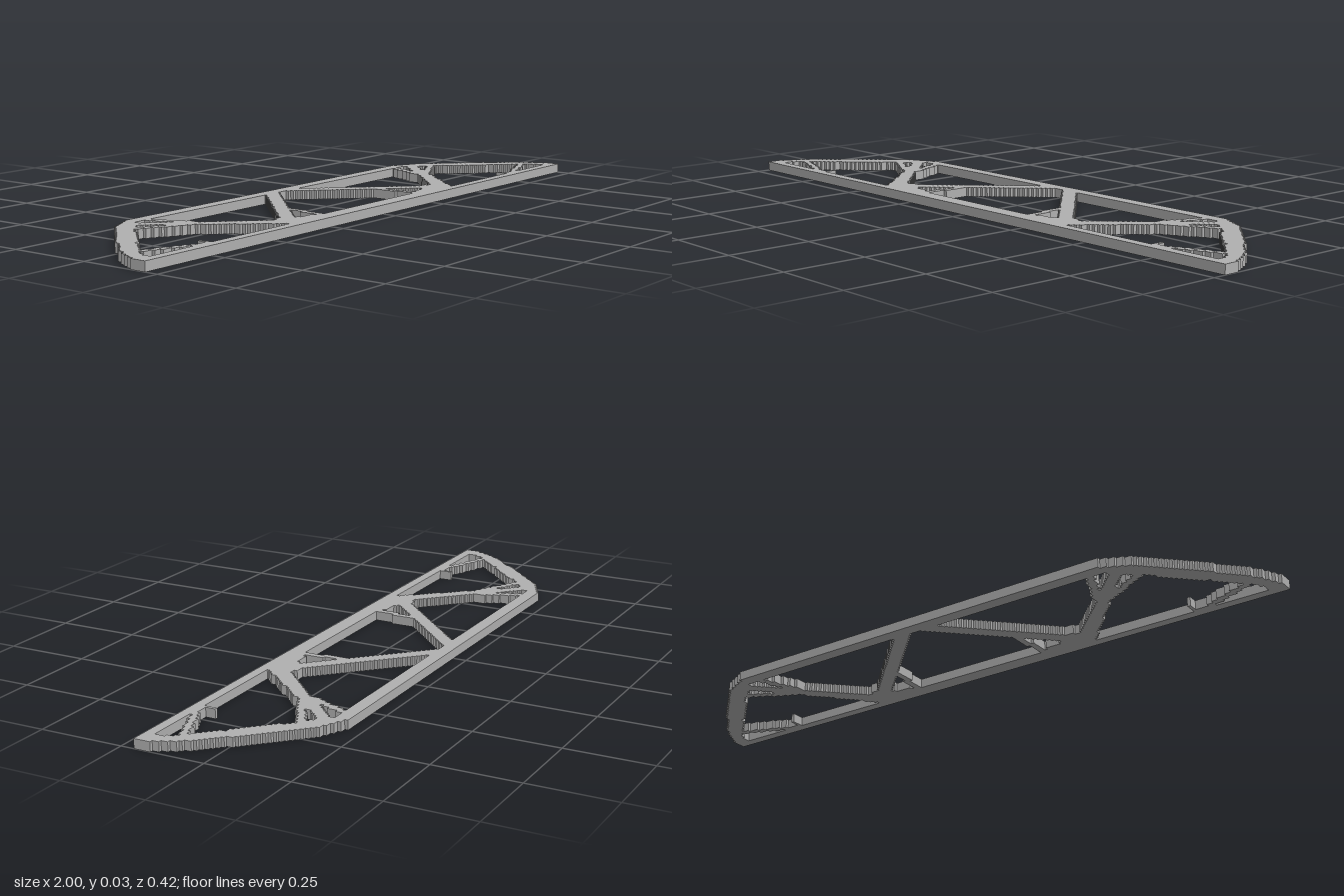
import * as THREE from 'three';

const CELL = 0.01, NX = 200, NZ = 42, HEIGHT = 0.028;

// Right half of the truss in plan, as [x, z]; the left half is mirrored.
const OUTLINE = [[-0.1, -0.21], [0.625, -0.21], [0.715, -0.17], [0.745, -0.145], [0.945, 0.07],
  [0.98, 0.13], [1.001, 0.17], [1.001, 0.211], [-0.1, 0.211]];

const HOLES = [
  // central bay
  [[-0.1, -0.175], [0.01, -0.175], [0.31, 0.125], [0.3, 0.135], [0.25, 0.145], [0.23, 0.156], [-0.1, 0.156]],
  // back bay between the two diagonals
  [[0.075, -0.175], [0.47, -0.175], [0.49, -0.165], [0.645, -0.165], [0.53, -0.04], [0.385, 0.11],
    [0.35, 0.1], [0.31, 0.07]],
  // end bay
  [[0.4, 0.176], [0.58, -0.035], [0.67, -0.135], [0.685, -0.125], [0.91, 0.1], [0.94, 0.13], [0.955, 0.176]],
];

// Thin struts across the bays: x1, z1, x2, z2, width
const STRUTS = [
  [0.215, 0.03, 0.235, 0.16, 0.02],
  [0.595, -0.18, 0.535, -0.035, 0.024],
  [0.71, -0.11, 0.56, -0.025, 0.022],
  [0.93, 0.11, 0.77, 0.172, 0.02],
  [0.79, 0.171, 0.72, 0.171, 0.012],
  [0.725, 0.145, 0.725, 0.18, 0.011],
];

function inside(poly, x, z) {
  let hit = false;
  poly.forEach(([ax, az], i) => {
    const [bx, bz] = poly[(i + 1) % poly.length];
    if ((az > z) !== (bz > z) && x < ax + ((z - az) / (bz - az)) * (bx - ax)) hit = !hit;
  });
  return hit;
}

function onStrut([x1, z1, x2, z2, w], x, z) {
  const dx = x2 - x1, dz = z2 - z1;
  const t = ((x - x1) * dx + (z - z1) * dz) / (dx * dx + dz * dz);
  return t >= 0 && t <= 1 && Math.hypot(x - x1 - t * dx, z - z1 - t * dz) <= w / 2;
}

// Is the grid cell filled?
function solid(i, j) {
  if (i < 0 || j < 0 || i >= NX || j >= NZ) return false;
  const x = Math.abs((i + 0.5 - NX / 2) * CELL), z = (j + 0.5 - NZ / 2) * CELL;
  return inside(OUTLINE, x, z) &&
    (!HOLES.some((h) => inside(h, x, z)) || STRUTS.some((s) => onStrut(s, x, z)));
}

function trussGeometry() {
  const filled = Array.from({ length: NX }, (_, i) => Array.from({ length: NZ }, (_, j) => solid(i, j)));
  const at = (i, j) => !!(filled[i] && filled[i][j]);
  const pos = [];
  const quad = (a, b, c, d) => pos.push(...a, ...b, ...c, ...a, ...c, ...d);
  const X = (i) => (i - NX / 2) * CELL, Z = (j) => (j - NZ / 2) * CELL;
  // vertical wall, facing right of the direction of travel seen from above
  const wall = (x1, z1, x2, z2) =>
    quad([x1, 0, z1], [x2, 0, z2], [x2, HEIGHT, z2], [x1, HEIGHT, z1]);

  // Calls emit(start, end) for every run of true values
  const runs = (n, test, emit) => {
    for (let i = 0; i < n; i++) {
      if (!test(i)) continue;
      const start = i;
      while (i < n && test(i)) i++;
      emit(start, i);
    }
  };

  for (let j = 0; j < NZ; j++) {
    const z0 = Z(j), z1 = Z(j + 1);
    // top and bottom faces
    runs(NX, (i) => at(i, j), (s, e) => {
      const a = X(s), b = X(e);
      quad([a, HEIGHT, z1], [b, HEIGHT, z1], [b, HEIGHT, z0], [a, HEIGHT, z0]);
      quad([a, 0, z0], [b, 0, z0], [b, 0, z1], [a, 0, z1]);
    });
    // front and back walls
    runs(NX, (i) => at(i, j) && !at(i, j + 1), (s, e) => wall(X(s), z1, X(e), z1));
    runs(NX, (i) => at(i, j) && !at(i, j - 1), (s, e) => wall(X(e), z0, X(s), z0));
  }
  // side walls
  for (let i = 0; i < NX; i++) {
    runs(NZ, (j) => at(i, j) && !at(i + 1, j), (s, e) => wall(X(i + 1), Z(e), X(i + 1), Z(s)));
    runs(NZ, (j) => at(i, j) && !at(i - 1, j), (s, e) => wall(X(i), Z(s), X(i), Z(e)));
  }

  const geo = new THREE.BufferGeometry();
  geo.setAttribute('position', new THREE.Float32BufferAttribute(pos, 3));
  geo.computeVertexNormals();
  return geo;
}

export function createModel() {
  const group = new THREE.Group();
  group.name = 'steppedTruss';
  const grey = new THREE.MeshStandardMaterial({ color: 0xb0b0b0 });
  grey.name = 'grey';
  const truss = new THREE.Mesh(trussGeometry(), grey);
  truss.name = 'trussFrame';
  group.add(truss);
  return group;
}
